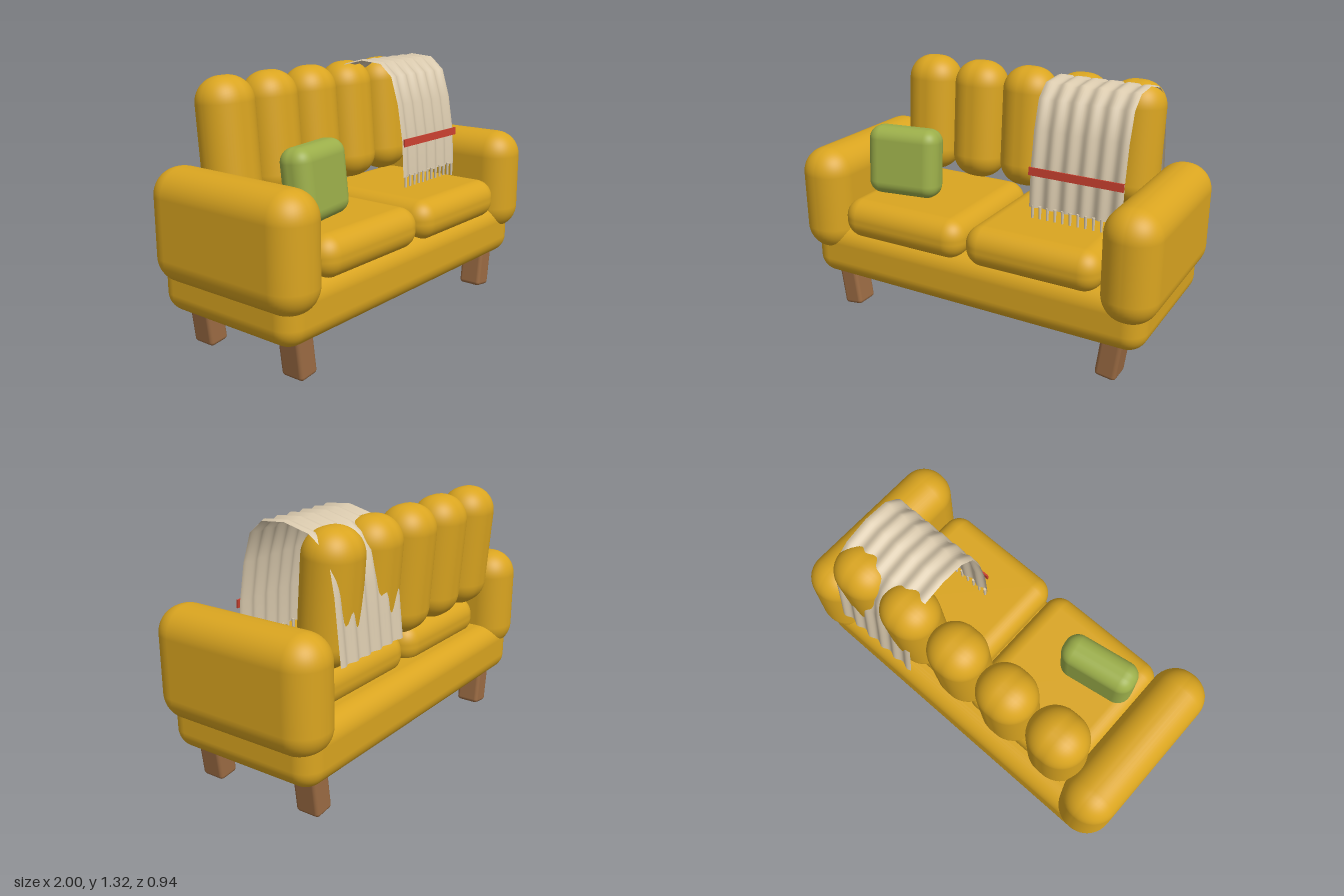
import * as THREE from 'three';
import { RoundedBoxGeometry } from 'three/addons/geometries/RoundedBoxGeometry.js';

const material = (name, color, extra = {}) => {
  const m = new THREE.MeshStandardMaterial({ color, ...extra });
  m.name = name;
  return m;
};

export function createModel() {
  const sofa = new THREE.Group();
  sofa.name = 'sofa';
  const mustard = material('mustard fabric', 0xdaa520);
  const wood = material('wood', 0x9b6b43);
  const green = material('green fabric', 0x9caf4a);
  const wool = material('cream wool', 0xd9c9ad, { side: THREE.DoubleSide });
  const red = material('red stripe', 0xc8402f);

  const add = (name, geometry, mat, position, rotation = [0, 0, 0]) => {
    const mesh = new THREE.Mesh(geometry, mat);
    mesh.name = name;
    mesh.position.set(...position);
    mesh.rotation.set(...rotation);
    sofa.add(mesh);
    return mesh;
  };
  const soft = (w, h, d, r, segments = 6) => new RoundedBoxGeometry(w, h, d, segments, r);

  // Base
  add('base', soft(1.9, 0.3, 0.855, 0.1), mustard, [0, 0.34, -0.012]);

  // Mirrored arms, seat cushions and splayed legs
  for (const [side, s] of [['left', 1], ['right', -1]]) {
    add(side + 'Arm', soft(0.28, 0.565, 0.935, 0.135), mustard, [0.86 * s, 0.622, 0]);
    add(side + 'SeatCushion', soft(0.72, 0.21, 0.77, 0.095), mustard, [0.367 * s, 0.555, 0.055]);
    for (const [end, z] of [['Front', 0.288], ['Back', -0.305]]) {
      add(side + end + 'Leg', soft(0.11, 0.27, 0.13, 0.02, 3), wood, [0.772 * s, 0.14, z], [0, 0, -0.13 * s]);
    }
  }

  // Five leaning back bolsters
  for (let i = -2; i <= 2; i++) {
    add('backBolster', soft(0.295, 0.65, 0.265, 0.13), mustard, [i * 0.3, 0.98, -0.295], [-0.08, 0, 0]);
  }

  // Green scatter cushion
  add('scatterCushion', soft(0.395, 0.365, 0.165, 0.07), green, [-0.49, 0.837, 0.16], [-0.1, 0.16, 0, 'YXZ']);

  // Throw: a rippled sheet following a side profile [z, y], back hem to front hem
  const profile = [
    [-0.44, 0.72], [-0.424, 0.87], [-0.408, 1.03], [-0.382, 1.17], [-0.33, 1.245],
    [-0.275, 1.285], [-0.144, 1.318], [-0.018, 1.308], [0.055, 1.245],
    [0.1, 1.1], [0.132, 0.91], [0.143, 0.715],
  ];
  const rows = profile.length - 1, columns = 48;
  const left = 0.235, width = 0.49;
  const sheet = new THREE.PlaneGeometry(1, 1, columns, rows);
  const p = sheet.attributes.position;
  for (let r = 0; r <= rows; r++) {
    const a = profile[Math.max(r - 1, 0)], b = profile[Math.min(r + 1, rows)];
    const length = Math.hypot(b[0] - a[0], b[1] - a[1]);
    const nz = (a[1] - b[1]) / length, ny = (b[0] - a[0]) / length;
    for (let c = 0; c <= columns; c++) {
      const u = c / columns;
      const ripple = 0.008 * Math.sin(u * Math.PI * 2 * 5.5);
      p.setXYZ(r * (columns + 1) + c, left + u * width, profile[r][1] + ny * ripple, profile[r][0] + nz * ripple);
    }
  }
  sheet.computeVertexNormals();
  add('throwBlanket', sheet, wool, [0, 0, 0]);

  // Red band across the front of the throw
  add('throwStripe', new THREE.BoxGeometry(0.495, 0.04, 0.009), red, [left + width / 2, 0.902, 0.147], [-0.08, 0, 0]);

  // Fringe along the front hem
  const strand = new THREE.CylinderGeometry(0.008, 0.006, 0.08, 8);
  for (let i = 0; i < 12; i++) {
    add('fringeStrand', strand, wool, [left + 0.02 + (i * (width - 0.04)) / 11, 0.685, 0.144]);
  }
  return sofa;
}
